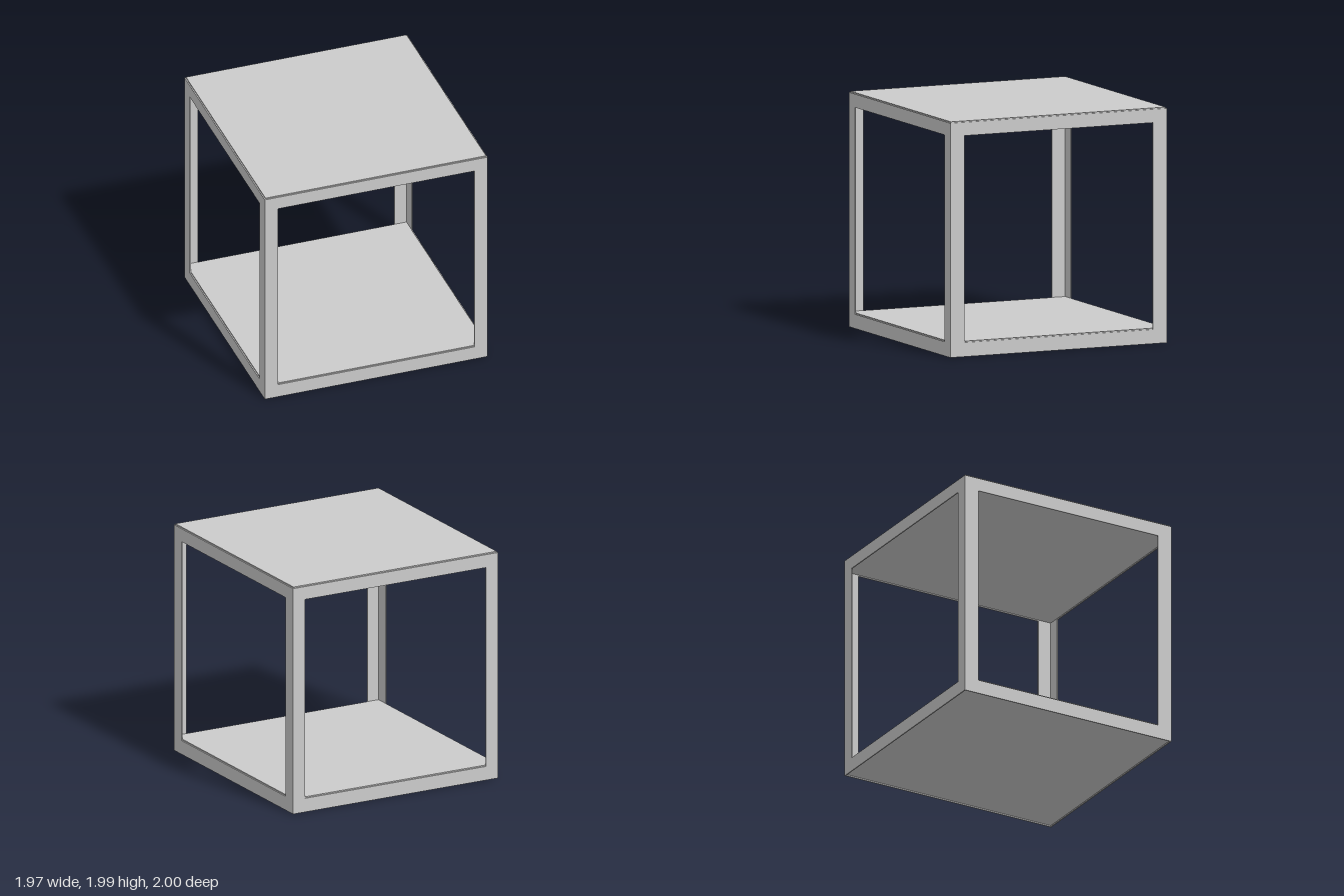
import * as THREE from 'three';

const HEIGHT = 1.975, THICK = 0.01, HALF_X = 0.985, HALF_Z = 1, OPENING = 0.87;

// Thin upright sheet with a square opening, lying in the XY plane
function frameGeometry(halfWidth) {
  const shape = new THREE.Shape([
    new THREE.Vector2(-halfWidth, 0), new THREE.Vector2(halfWidth, 0),
    new THREE.Vector2(halfWidth, HEIGHT), new THREE.Vector2(-halfWidth, HEIGHT),
  ]);
  shape.holes.push(new THREE.Path([
    new THREE.Vector2(-OPENING, 0.12), new THREE.Vector2(-OPENING, 1.862),
    new THREE.Vector2(OPENING, 1.862), new THREE.Vector2(OPENING, 0.12),
  ]));
  return new THREE.ExtrudeGeometry(shape, { depth: THICK, bevelEnabled: false });
}

export function createModel() {
  const model = new THREE.Group();
  const material = new THREE.MeshStandardMaterial({ color: 0xcccccc });
  const add = (name, geometry) => {
    const mesh = new THREE.Mesh(geometry, material);
    mesh.name = name;
    model.add(mesh);
    return mesh;
  };

  // Front and back frames cover the ends of the side frames
  const wide = frameGeometry(HALF_X);
  add('frontFrame', wide).position.z = HALF_Z - THICK;
  add('backFrame', wide).position.z = -HALF_Z;

  // Side frames
  const side = frameGeometry(HALF_Z - THICK);
  for (const [name, x] of [['leftFrame', HALF_X - THICK], ['rightFrame', -HALF_X]]) {
    const frame = add(name, side);
    frame.rotation.y = Math.PI / 2;
    frame.position.x = x;
  }

  // Floor and top slabs sit inside the frames, raised slightly above their rails
  for (const [name, bottom, top] of [['floorSlab', 0.01, 0.13], ['topSlab', 1.872, 1.985]]) {
    const slab = add(name, new THREE.BoxGeometry(2 * (HALF_X - THICK), top - bottom, 2 * (HALF_Z - THICK)));
    slab.position.y = (bottom + top) / 2;
  }
  return model;
}
